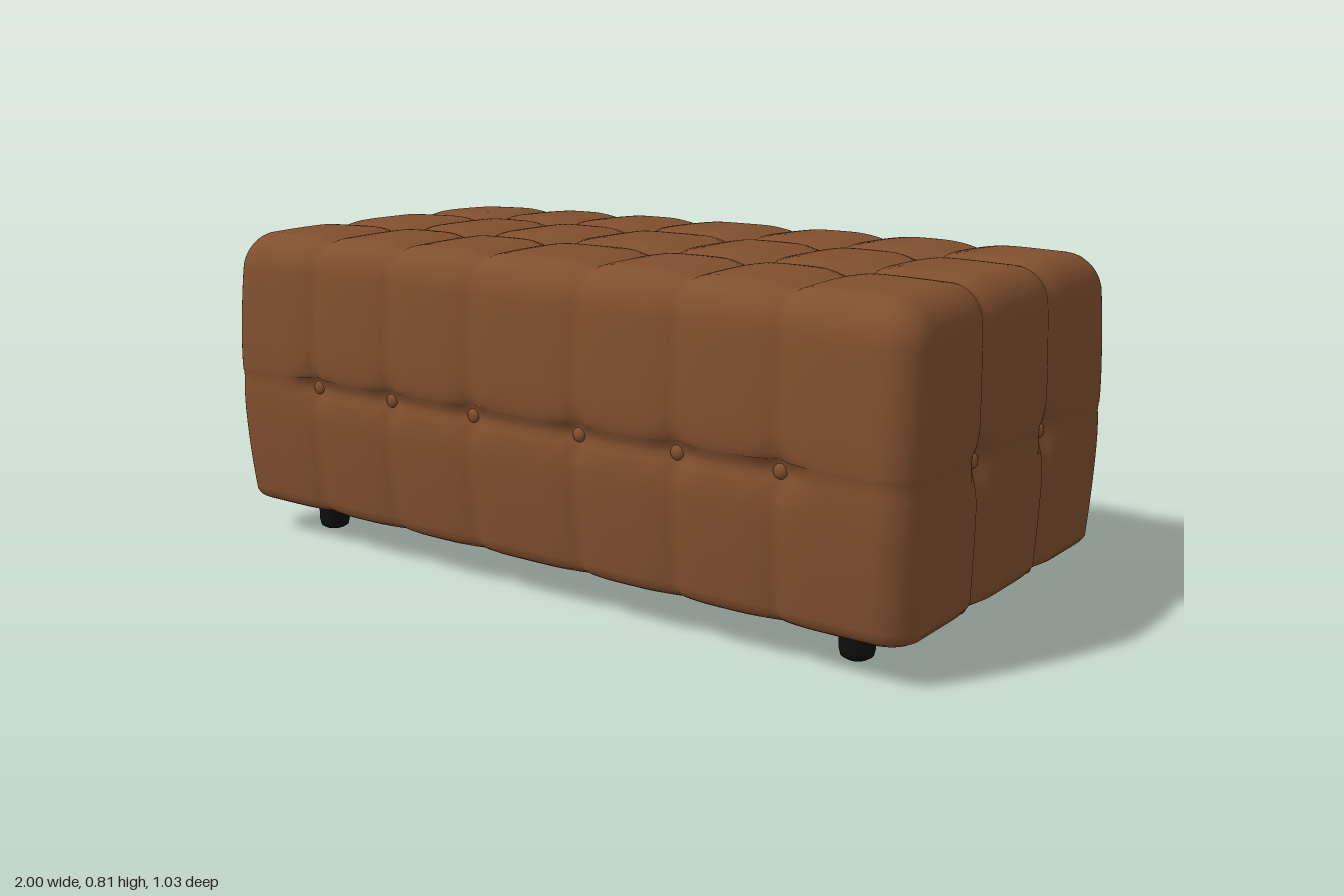
import * as THREE from 'three';
import { mergeVertices } from 'three/addons/utils/BufferGeometryUtils.js';

const SEAM_X = [-0.69, -0.43, -0.16, 0.16, 0.43, 0.69];
const SEAM_Z = [-0.17, 0.17];
const SEAM_Y = [0.42];
const MID_Y = 0.445, HALF = [1.0, 0.365, 0.515];

const near = (v, list) => Math.min(...list.map((s) => Math.abs(v - s)));
// soft valley with a sharp fold along the seam
const groove = (d) => 0.009 * Math.exp(-((d / 0.05) ** 2)) + 0.007 * Math.exp(-((d / 0.012) ** 2));

// inward depth of one tufted face
function tuft(u, v, seamsU, seamsV, strengthV) {
  const du = near(u, seamsU), dv = near(v, seamsV);
  const r = Math.hypot(du, dv);
  const dimple = 0.02 * Math.exp(-((r / 0.05) ** 2));
  return Math.max(groove(du), strengthV * groove(dv)) + dimple;
}

// rounded block whose faces are pulled in along the seams and at the buttons
function cushionGeometry() {
  let g = new THREE.BoxGeometry(HALF[0] * 2, HALF[1] * 2, HALF[2] * 2, 130, 50, 70);
  g.deleteAttribute('uv');
  g.deleteAttribute('normal');
  g = mergeVertices(g, 1e-5);
  const pos = g.attributes.position;
  for (let i = 0; i < pos.count; i++) {
    const p = [pos.getX(i), pos.getY(i), pos.getZ(i)];
    const radii = [0.08, p[1] > 0 ? 0.085 : 0.03, 0.08];
    const inner = p.map((v, k) => THREE.MathUtils.clamp(v, radii[k] - HALF[k], HALF[k] - radii[k]));
    const n = p.map((v, k) => (v - inner[k]) / radii[k]);
    const len = Math.hypot(...n);
    const q = n.map((v, k) => inner[k] + (v / len) * radii[k]);
    const w = n.map((v) => (v / len) ** 2);
    const [x, y, z] = [q[0], q[1] + MID_Y, q[2]];
    const end = tuft(z, y, SEAM_Z, SEAM_Y, 0.25);
    const top = tuft(x, z, SEAM_X, SEAM_Z, 1);
    const yFade = 1 - 0.7 * THREE.MathUtils.smoothstep(Math.abs(x), 0.69, 0.8);
    const side = tuft(x, y, SEAM_X, SEAM_Y, yFade);
    const depth = w[0] * end + w[2] * side + (n[1] > 0 ? w[1] * top : 0);
    for (let k = 0; k < 3; k++) q[k] -= (n[k] / len) * depth;
    // slight barrel shape
    const t = (q[1] / HALF[1]) ** 2;
    q[0] *= 1 - 0.012 * t;
    q[2] *= 1 - 0.05 * t;
    if (q[1] > 0) q[1] -= 0.012 * (q[0] ** 4 + (q[2] / HALF[2]) ** 4);
    pos.setXYZ(i, q[0], q[1] + MID_Y, q[2]);
  }
  g.computeVertexNormals();
  // the underside takes the second material
  g.groups.forEach((group, k) => { group.materialIndex = k === 3 ? 1 : 0; });
  return g;
}

export function createModel() {
  const model = new THREE.Group();
  const leather = new THREE.MeshStandardMaterial({ color: 0x804f2e });
  leather.name = 'brown leather';
  const lining = new THREE.MeshStandardMaterial({ color: 0x261c0c });
  lining.name = 'dark lining';
  const black = new THREE.MeshStandardMaterial({ color: 0x0e0e0e });
  black.name = 'black feet';

  const cushion = new THREE.Mesh(cushionGeometry(), [leather, lining]);
  cushion.name = 'tuftedCushion';
  model.add(cushion);

  // upholstery buttons
  const buttons = new THREE.Group();
  buttons.name = 'buttons';
  const buttonGeo = new THREE.SphereGeometry(0.017, 14, 10);
  const addButton = (x, y, z, axis) => {
    const b = new THREE.Mesh(buttonGeo, leather);
    b.name = 'button';
    b.position.set(x, y, z);
    b.scale[axis] = 0.6;
    buttons.add(b);
  };
  for (const x of SEAM_X) {
    for (const z of SEAM_Z) addButton(x, 0.778, z, 'y');
    for (const s of [-1, 1]) addButton(x, 0.42, s * 0.483, 'z');
  }
  for (const s of [-1, 1]) {
    for (const z of SEAM_Z) {
      addButton(s * 0.968, 0.42, z, 'x');
      addButton(s * 0.955, 0.095, z, 'x');
    }
  }
  model.add(buttons);

  // short round feet
  const footProfile = [[0, 0], [0.025, 0.001], [0.036, 0.008], [0.04, 0.025], [0.04, 0.1]]
    .map(([r, y]) => new THREE.Vector2(r, y));
  const footGeo = new THREE.LatheGeometry(footProfile, 20);
  for (const sx of [-1, 1]) {
    for (const sz of [-1, 1]) {
      const foot = new THREE.Mesh(footGeo, black);
      foot.name = (sz > 0 ? 'front' : 'back') + (sx > 0 ? 'Left' : 'Right') + 'Foot';
      foot.position.set(sx * 0.805, 0, sz * 0.348);
      model.add(foot);
    }
  }
  return model;
}
